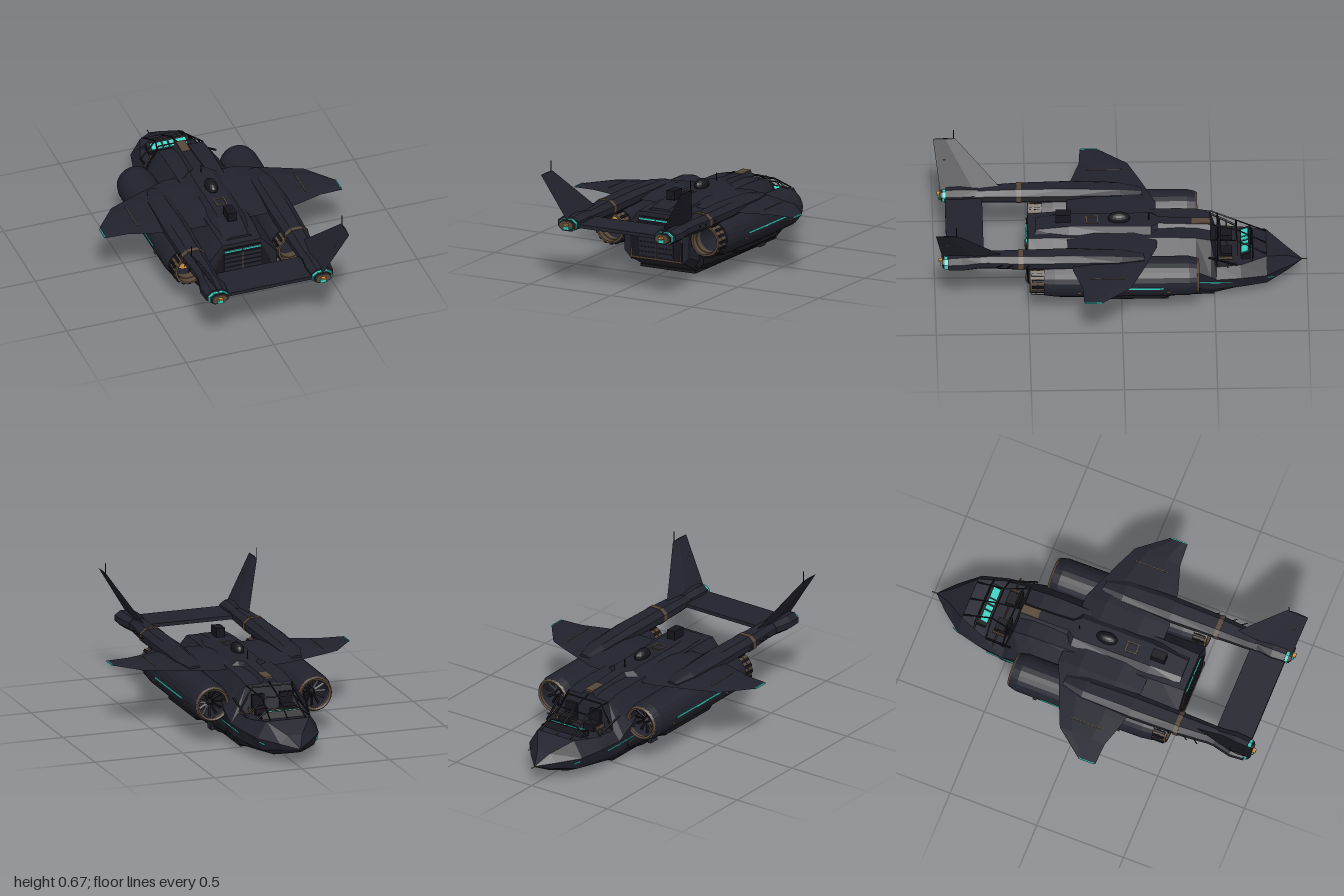
import * as THREE from 'three';

const mat = (name, color) => {
  const m = new THREE.MeshStandardMaterial({ color, flatShading: true });
  m.name = name;
  return m;
};

export function createModel() {
  const hull = mat('hull navy', 0x22222d);
  const dark = mat('dark trim', 0x15151c);
  const bronze = mat('bronze', 0x57493a);
  const teal = mat('teal light', 0x38d2c2);
  const orange = mat('orange glow', 0xd8943f);
  const model = new THREE.Group();

  const add = (parent, name, geo, material, x = 0, y = 0, z = 0) => {
    const m = new THREE.Mesh(geo, material);
    m.name = name;
    m.position.set(x, y, z);
    parent.add(m);
    return m;
  };
  const box = (p, name, material, w, h, d, x, y, z) =>
    add(p, name, new THREE.BoxGeometry(w, h, d), material, x, y, z);
  // Thin rod between two points
  const rod = (p, name, material, a, b, r = 0.004) => {
    const A = new THREE.Vector3(...a), B = new THREE.Vector3(...b);
    const m = add(p, name, new THREE.CylinderGeometry(r, r, A.distanceTo(B), 6), material);
    m.position.copy(A).add(B).multiplyScalar(0.5);
    m.quaternion.setFromUnitVectors(new THREE.Vector3(0, 1, 0), B.sub(A).normalize());
    return m;
  };
  // Skin through rings of equal point count, capped at both ends
  const loft = (rings) => {
    const n = rings[0].length, idx = [];
    for (let r = 0; r < rings.length - 1; r++) {
      for (let i = 0; i < n; i++) {
        const a = r * n + i, b = r * n + (i + 1) % n;
        idx.push(a, b, b + n, a, b + n, a + n);
      }
    }
    const e = (rings.length - 1) * n;
    for (let i = 1; i < n - 1; i++) idx.push(0, i + 1, i, e, e + i, e + i + 1);
    const g = new THREE.BufferGeometry();
    g.setAttribute('position', new THREE.Float32BufferAttribute(rings.flat(2), 3));
    g.setIndex(idx);
    const flat = g.toNonIndexed();
    flat.computeVertexNormals();
    return flat;
  };
  // Ring mirrored in x from a half profile listed bottom to top
  const sym = (z, half) => [
    ...half.map(([x, y]) => [x, y, z]),
    ...half.slice().reverse().map(([x, y]) => [-x, y, z]),
  ];
  // Eight-sided ring about a centre line
  const oct = (z, cx, hw, y0, y1) => {
    const c = 0.5 * hw, k = 0.3 * (y1 - y0);
    return [[c, y0], [hw, y0 + k], [hw, y1 - k], [c, y1], [-c, y1], [-hw, y1 - k], [-hw, y0 + k], [-c, y0]]
      .map(([x, y]) => [cx + x, y, z]);
  };

  // Fuselage, nose at -z and loading ramp at +z
  add(model, 'fuselage', loft([
    sym(-0.97, [[0.002, 0.098], [0.004, 0.1], [0.004, 0.104], [0.002, 0.106]]),
    sym(-0.89, [[0.03, 0.06], [0.07, 0.08], [0.085, 0.115], [0.04, 0.158]]),
    sym(-0.78, [[0.08, 0.028], [0.15, 0.06], [0.175, 0.125], [0.12, 0.215]]),
    sym(-0.64, [[0.13, 0.022], [0.19, 0.065], [0.21, 0.135], [0.17, 0.195]]),
    sym(-0.51, [[0.17, 0.018], [0.215, 0.07], [0.227, 0.14], [0.185, 0.195]]),
    sym(-0.48, [[0.17, 0.015], [0.215, 0.07], [0.23, 0.16], [0.13, 0.335]]),
    sym(-0.4, [[0.175, 0.015], [0.21, 0.07], [0.232, 0.2], [0.13, 0.35]]),
    sym(-0.3, [[0.175, 0.015], [0.21, 0.07], [0.21, 0.24], [0.13, 0.355]]),
    sym(0.37, [[0.17, 0.02], [0.205, 0.07], [0.205, 0.24], [0.115, 0.352]]),
    sym(0.5, [[0.165, 0.085], [0.2, 0.12], [0.2, 0.24], [0.11, 0.345]]),
  ]), hull);
  add(model, 'spine', loft([
    sym(-0.48, [[0.05, 0.33], [0.025, 0.362]]),
    sym(-0.2, [[0.06, 0.34], [0.03, 0.378]]),
    sym(-0.16, [[0.12, 0.34], [0.06, 0.38]]),
    sym(0.28, [[0.11, 0.34], [0.06, 0.385]]),
    sym(0.46, [[0.09, 0.34], [0.05, 0.36]]),
  ]), hull);
  box(model, 'spinePanel', bronze, 0.05, 0.008, 0.1, 0, 0.366, -0.43);
  box(model, 'sensorBox', dark, 0.05, 0.05, 0.08, 0, 0.41, 0.31);
  for (const s of [-1, 1]) {
    box(model, 'roofHatchRail', bronze, 0.006, 0.006, 0.07, s * 0.027, 0.384, 0.155);
    box(model, 'roofHatchBar', bronze, 0.054, 0.006, 0.006, 0, 0.384, 0.155 + s * 0.03);
  }
  const dome = add(model, 'sensorDome', new THREE.SphereGeometry(1, 16, 10), dark, 0, 0.393, 0.01);
  dome.scale.set(0.033, 0.036, 0.06);
  rod(model, 'roofAntenna', dark, [0, 0.37, -0.15], [0, 0.425, -0.15], 0.003);
  rod(model, 'noseProbe', bronze, [0, 0.102, -0.96], [0, 0.102, -1], 0.003);
  box(model, 'bellyPlate', dark, 0.34, 0.016, 0.88, 0, 0.012, -0.06);

  // Rear loading ramp
  const rampShape = new THREE.Shape([[-0.16, 0.09], [0.16, 0.09], [0.16, 0.2], [0.105, 0.32], [-0.105, 0.32], [-0.16, 0.2]]
    .map(([x, y]) => new THREE.Vector2(x, y)));
  add(model, 'ramp', new THREE.ExtrudeGeometry(rampShape, { depth: 0.006, bevelEnabled: false }), dark, 0, 0, 0.5);
  for (let i = 0; i < 7; i++) box(model, 'rampSlat', hull, 0.21, 0.02, 0.008, 0, 0.115 + i * 0.027, 0.506);
  box(model, 'rampSeam', bronze, 0.005, 0.2, 0.008, 0, 0.195, 0.508);
  box(model, 'rampSill', bronze, 0.32, 0.009, 0.01, 0, 0.09, 0.505);

  // Wing across the whole span: [x, leading z, trailing z, half thickness]
  const half = [[0.2, -0.19, 0.29, 0.017], [0.4, -0.11, 0.262, 0.013], [0.55, -0.045, 0.215, 0.009], [0.675, 0.11, 0.208, 0.004]];
  const stations = [...half.slice().reverse().map(([x, ...r]) => [-x, ...r]), ...half];
  add(model, 'wing', loft(stations.map(([x, a, b, t]) => {
    const y = 0.347 - 0.012 * Math.abs(x), d = b - a;
    return [[x, y, a], [x, y + t, a + d * 0.25], [x, y + t, a + d * 0.7], [x, y, b], [x, y - t, a + d * 0.7], [x, y - t, a + d * 0.25]];
  })), hull);
  box(model, 'tailplane', hull, 0.52, 0.02, 0.2, 0, 0.341, 0.84);

  // Cockpit: console, cross bar and open canopy frame
  const consolePanel = box(model, 'console', dark, 0.24, 0.04, 0.06, 0, 0.212, -0.675);
  consolePanel.rotation.x = 0.35;
  for (const [x, w] of [[-0.07, 0.06], [-0.018, 0.025], [0.018, 0.025], [0.07, 0.06]]) {
    const s = box(consolePanel, 'screen', teal, w, 0.006, 0.04, x, 0.022, 0.004);
    s.name = 'screen';
  }
  rod(model, 'canopyCrossBar', bronze, [-0.21, 0.21, -0.57], [0.21, 0.21, -0.57]);
  rod(model, 'canopyRidge', dark, [0, 0.345, -0.48], [0, 0.305, -0.62]);
  rod(model, 'canopyRidge', dark, [0, 0.305, -0.62], [0, 0.215, -0.78]);
  for (const [z, xt, yt, xb, yb] of [[-0.52, 0.11, 0.333, 0.185, 0.2], [-0.62, 0.09, 0.3, 0.175, 0.2], [-0.7, 0.08, 0.258, 0.15, 0.205]]) {
    rod(model, 'canopyBow', dark, [-xt, yt, z], [xt, yt, z]);
    for (const s of [-1, 1]) rod(model, 'canopyBow', dark, [s * xt, yt, z], [s * xb, yb, z]);
  }

  // Everything that comes in left and right pairs
  for (const side of [1, -1]) {
    const g = new THREE.Group();
    g.name = side > 0 ? 'leftSide' : 'rightSide';
    g.scale.x = side;
    model.add(g);

    rod(g, 'canopyRail', dark, [0.13, 0.335, -0.48], [0.09, 0.3, -0.62]);
    rod(g, 'canopyRail', dark, [0.09, 0.3, -0.62], [0.1, 0.217, -0.78]);
    rod(g, 'canopySill', dark, [0.2, 0.27, -0.47], [0.175, 0.2, -0.62], 0.006);
    box(g, 'seatBase', dark, 0.07, 0.04, 0.07, 0.08, 0.212, -0.56);
    box(g, 'seatBack', dark, 0.07, 0.11, 0.02, 0.08, 0.24, -0.525);
    box(g, 'seatRail', bronze, 0.008, 0.02, 0.08, 0.13, 0.215, -0.56);

    // Engine: open duct, nozzle, fan
    const e = new THREE.Group();
    e.name = 'engine';
    e.position.set(0.293, 0.225, 0);
    g.add(e);
    const ring = (name, pts, m) => add(e, name, new THREE.LatheGeometry(
      [...pts, pts[0]].map(([r, z]) => new THREE.Vector2(r, z)), 24).rotateX(Math.PI / 2), m);
    ring('duct', [[0.08, -0.4], [0.095, -0.405], [0.106, -0.36], [0.109, 0], [0.106, 0.36], [0.098, 0.42], [0.076, 0.42], [0.076, 0]], hull);
    ring('intakeRim', [[0.077, -0.41], [0.088, -0.415], [0.096, -0.403], [0.077, -0.395]], bronze);
    ring('nozzle', [[0.074, 0.415], [0.09, 0.415], [0.084, 0.46], [0.07, 0.46]], bronze);
    ring('nozzleLip', [[0.074, 0.46], [0.09, 0.46], [0.085, 0.495], [0.074, 0.495]], bronze);
    for (let i = 0; i < 16; i++) {
      const a = i * Math.PI / 8;
      box(e, 'nozzleVane', dark, 0.012, 0.014, 0.07, Math.cos(a) * 0.089, Math.sin(a) * 0.089, 0.45).rotation.z = a;
    }
    for (let i = 0; i < 12; i++) {
      const spoke = new THREE.Group();
      spoke.name = 'fanBlade';
      spoke.rotation.z = i * Math.PI / 6;
      e.add(spoke);
      box(spoke, 'blade', dark, 0.06, 0.013, 0.006, 0.048, 0, -0.35).rotation.x = 0.5;
    }
    add(e, 'fanHub', new THREE.ConeGeometry(0.022, 0.06, 12).rotateX(-Math.PI / 2), dark, 0, 0, -0.36);
    if (side < 0) add(e, 'exhaustGlow', new THREE.CircleGeometry(0.05, 24), orange, 0, 0, 0.4);
    box(e, 'engineLight', teal, 0.006, 0.01, 0.42, 0.108, -0.005, -0.01);
    for (const z of [-0.25, 0.23]) box(e, 'engineClip', bronze, 0.006, 0.012, 0.02, 0.107, -0.03, z);
    add(g, 'underPod', loft([
      oct(-0.28, 0.293, 0.025, 0.105, 0.14), oct(-0.22, 0.293, 0.045, 0.088, 0.15),
      oct(0.16, 0.293, 0.045, 0.088, 0.15), oct(0.22, 0.293, 0.025, 0.105, 0.14),
    ]), dark);

    // Lower sponson, lights and skid
    add(g, 'sponson', loft([
      oct(-0.42, 0.195, 0.025, 0.05, 0.1), oct(-0.28, 0.2, 0.036, 0.032, 0.14),
      oct(0.32, 0.2, 0.038, 0.03, 0.14), oct(0.4, 0.2, 0.03, 0.045, 0.13),
    ]), dark);
    box(g, 'sponsonVent', hull, 0.02, 0.045, 0.06, 0.235, 0.055, -0.22);
    box(g, 'sponsonLight', teal, 0.006, 0.007, 0.3, 0.238, 0.104, 0.15);
    rod(g, 'noseLight', teal, [0.23, 0.125, -0.38], [0.217, 0.114, -0.6], 0.004);
    rod(g, 'noseMarker', teal, [0.166, 0.105, -0.785], [0.148, 0.098, -0.82], 0.004);
    box(g, 'skid', dark, 0.02, 0.012, 0.8, 0.105, 0.006, -0.06);
    box(g, 'rampPost', bronze, 0.008, 0.045, 0.012, 0.15, 0.115, 0.507);
    box(g, 'rampLight', teal, 0.1, 0.008, 0.008, 0.053, 0.306, 0.508);
    rod(g, 'rampEdge', bronze, [0.16, 0.2, 0.506], [0.105, 0.32, 0.506], 0.003);

    // Wing tip light and panel line
    box(g, 'wingTipLight', teal, 0.005, 0.008, 0.09, 0.675, 0.339, 0.158);
    box(g, 'wingPanelLine', bronze, 0.004, 0.003, 0.19, 0.48, 0.353, 0.08);

    // Tail boom, bands and end fittings
    add(g, 'boom', loft([
      oct(-0.12, 0.29, 0.03, 0.335, 0.36), oct(0, 0.295, 0.06, 0.325, 0.38), oct(0.28, 0.295, 0.068, 0.31, 0.393),
      oct(0.54, 0.295, 0.062, 0.303, 0.39), oct(0.72, 0.29, 0.052, 0.306, 0.385), oct(0.96, 0.295, 0.05, 0.312, 0.372),
    ]), hull);
    add(g, 'boomBand', loft([oct(0.53, 0.295, 0.065, 0.3, 0.393), oct(0.555, 0.295, 0.065, 0.3, 0.393)]), bronze);
    add(g, 'boomFairing', loft([
      oct(0.76, 0.295, 0.05, 0.31, 0.385), oct(0.86, 0.3, 0.068, 0.308, 0.392), oct(0.935, 0.3, 0.062, 0.31, 0.385),
    ]), hull);
    add(g, 'boomLight', loft([oct(0.935, 0.296, 0.055, 0.309, 0.376), oct(0.952, 0.296, 0.055, 0.309, 0.376)]), teal);
    add(g, 'boomEnd', loft([oct(0.955, 0.295, 0.043, 0.316, 0.368), oct(0.966, 0.295, 0.04, 0.318, 0.366)]), bronze);
    box(g, 'tailLamp', teal, 0.034, 0.018, 0.012, 0.293, 0.329, 0.968);
    box(g, 'tailBeacon', orange, 0.024, 0.01, 0.02, 0.293, 0.349, 0.974);
    for (const z of [0.48, 0.58, 0.64]) rod(g, 'boomSpike', dark, [0.345, 0.35, z], [0.37, 0.35, z + 0.035], 0.003);

    // Canted fin with antenna
    const finRing = (x, y, a, b, t) => [[x + t, y, a * 0.55 + b * 0.45], [x, y, a], [x - t, y, a * 0.55 + b * 0.45], [x, y, b]];
    add(g, 'fin', loft([finRing(0.285, 0.36, 0.62, 0.963, 0.014), finRing(0.43, 0.613, 0.88, 1, 0.005)]), hull);
    rod(g, 'finAntenna', dark, [0.43, 0.605, 0.89], [0.43, 0.67, 0.89], 0.0025);
    box(g, 'finClip', bronze, 0.012, 0.006, 0.015, 0.374, 0.515, 0.94);
  }
  return model;
}
